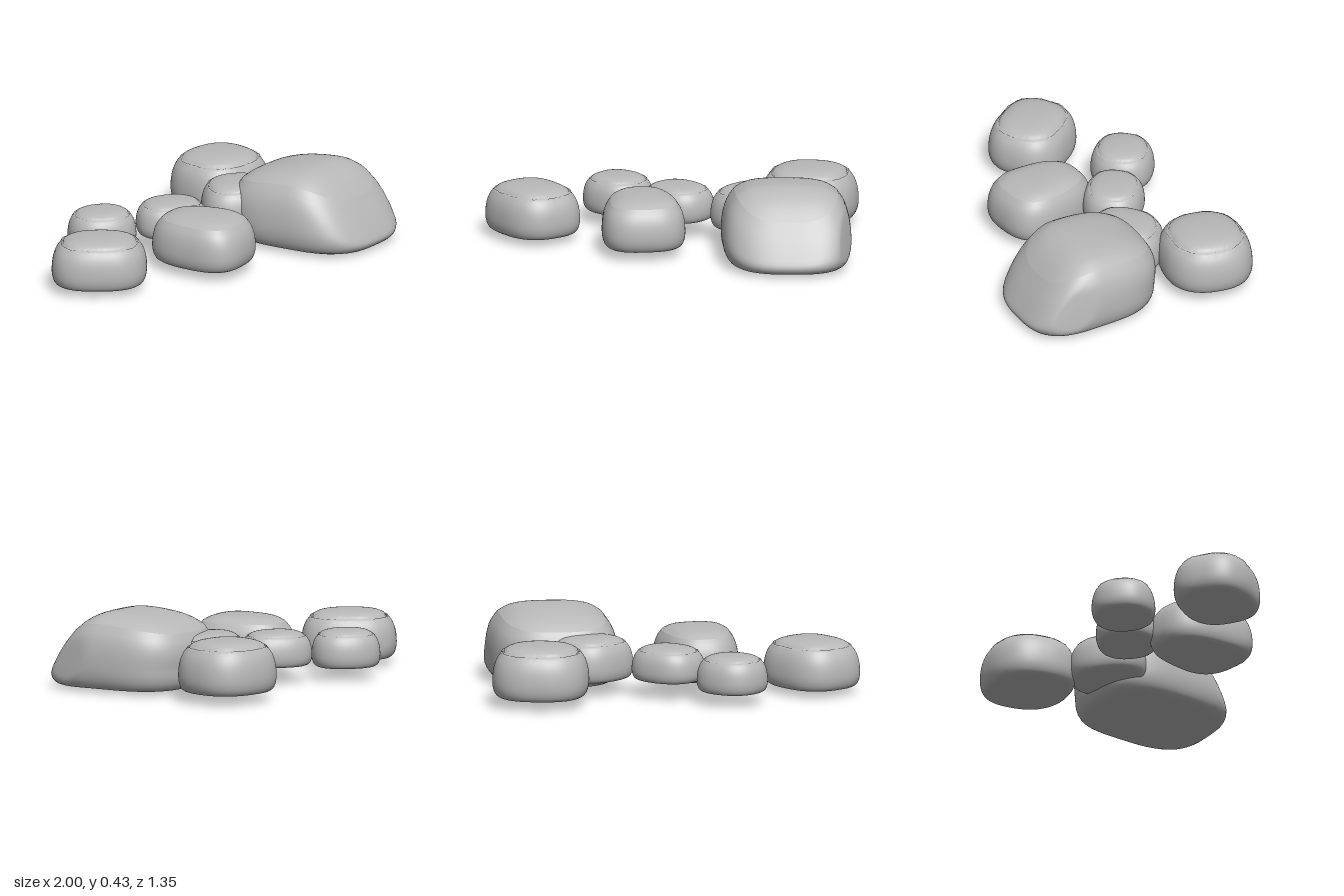
import * as THREE from 'three';

const SIDES = 96, SIDE_ROWS = 16, CAP_ROWS = 10;

const spline = (...pts) => new THREE.SplineCurve(pts.map(([x, y]) => new THREE.Vector2(x, y)));

// Vertical profile: x = share of the outline, y = share of the height
const sideProfile = spline([0.86, 0.05], [0.94, 0.1], [0.99, 0.22], [1, 0.37], [0.975, 0.56], [0.91, 0.73], [0.8, 0.865]);
const capProfile = spline([0.8, 0.865], [0.65, 0.94], [0.45, 0.98], [0.2, 0.997], [0, 1]);

// Plan outline: a tapered, turned, sheared superellipse fitted between x0..x1 and z0..z1
function planOutline([x0, x1, z0, z1], { aspect = 1, turn = 0, power = 2.4, taper = 0, shear = 0 }) {
  const round = (t) => Math.sign(t) * Math.abs(t) ** (2 / power);
  const a = THREE.MathUtils.degToRad(turn);
  const loop = [];
  for (let i = 0; i < SIDES; i++) {
    const t = (i / SIDES) * Math.PI * 2;
    const u = round(Math.cos(t)), v = round(Math.sin(t)) * (1 + taper * u);
    const p = new THREE.Vector3(aspect * u, 0, v).applyAxisAngle(new THREE.Vector3(0, 1, 0), -a);
    p.x += shear * p.z;
    loop.push(p);
  }
  const rim = new THREE.CatmullRomCurve3(loop, true).getSpacedPoints(SIDES).slice(0, SIDES);
  const box = new THREE.Box3().setFromPoints(rim);
  for (const p of rim) {
    p.x = THREE.MathUtils.mapLinear(p.x, box.min.x, box.max.x, x0, x1);
    p.z = THREE.MathUtils.mapLinear(p.z, box.min.z, box.max.z, z0, z1);
  }
  return rim;
}

// Repeatable ragged offset around the chipped edge
const ragged = (i) => 0.008 * Math.sin(i * 2.3) + 0.009 * Math.sin(i * 0.72 + 1) + 0.008 * Math.sin(i * Math.PI / 12);

function stoneGeometry(bounds, { base, top, chipped = false, lean = 0, facet, ...outline }) {
  const rim = planOutline(bounds, outline);
  const centre = new THREE.Vector3((bounds[0] + bounds[1]) / 2, 0, (bounds[2] + bounds[3]) / 2);

  // Underside rows, then sides, then cap; the underside has its own edge row to stay sharp
  const rows = [[0, 0], [0.45, 0.012], [0.86, 0.05]];
  for (const p of sideProfile.getPoints(SIDE_ROWS - 1)) rows.push([p.x, p.y]);
  const capStart = rows.length;
  for (const p of capProfile.getPoints(CAP_ROWS)) rows.push([p.x, p.y]);

  const positions = [], index = [];
  rows.forEach(([share, rise], j) => {
    for (let i = 0; i < SIDES; i++) {
      let s = share, h = rise;
      if (chipped && j === capStart - 1) s += ragged(i);
      if (chipped && j === capStart) {
        s += ragged(i) - 0.018;
        h -= 0.022;
      }
      const p = new THREE.Vector3().lerpVectors(centre, rim[i], s);
      p.z -= lean * Math.max(0, h - 0.37);
      p.y = base + h * (top(p.z) - base);
      // Flatten whatever stands beyond the facet plane
      if (facet) p.addScaledVector(facet.normal, -0.85 * Math.max(0, facet.distanceToPoint(p)));
      positions.push(p.x, p.y, p.z);
    }
  });
  for (let j = 0; j < rows.length - 1; j++) {
    if (j === 2) continue;
    for (let i = 0; i < SIDES; i++) {
      const a = j * SIDES + i, b = j * SIDES + ((i + 1) % SIDES);
      const c = a + SIDES, d = b + SIDES;
      index.push(a, c, b, b, c, d);
    }
  }
  const geometry = new THREE.BufferGeometry();
  geometry.setAttribute('position', new THREE.Float32BufferAttribute(positions, 3));
  geometry.setIndex(index);
  geometry.computeVertexNormals();
  return geometry;
}

const level = (y) => () => y;

// The large stone peaks at z = 0.3 and slopes down to the front
const slopedTop = (z) => (z > 0.3 ? 0.428 - 0.25 * ((z - 0.3) / 0.37) ** 2 : 0.428 - 0.06 * ((0.3 - z) / 0.43) ** 1.6);

const facetPlane = (x, y, z, distance) => new THREE.Plane(new THREE.Vector3(x, y, z), -distance).normalize();

export function createModel() {
  const group = new THREE.Group();
  group.name = 'stones';
  const material = new THREE.MeshStandardMaterial({ color: 0xb8b8b8 });
  material.name = 'stoneGrey';

  const addStone = (name, bounds, shape) => {
    const mesh = new THREE.Mesh(stoneGeometry(bounds, shape), material);
    mesh.name = name;
    group.add(mesh);
  };

  addStone('largeStone', [0.27, 0.975, -0.12, 0.67],
    { base: 0, top: slopedTop, lean: 0.1, aspect: 1.13, turn: 90, power: 3, shear: 0.08, facet: facetPlane(0.95, 0.15, 0.27, 1.045) });
  addStone('frontStone', [-0.37, 0.08, -0.19, 0.365],
    { base: 0.035, top: level(0.32), aspect: 1.2, turn: 82, power: 2.7, taper: 0.15 });
  addStone('rightStone', [-1, -0.49, -0.43, 0.08],
    { base: 0.025, top: level(0.297), aspect: 1.2, turn: 55, power: 2.6, chipped: true });
  addStone('backRightStone', [-0.48, -0.1, -0.66, -0.3],
    { base: 0.06, top: level(0.27), aspect: 1.08, turn: 42, power: 2.25, chipped: true });
  addStone('middleStone', [-0.16, 0.23, -0.435, -0.07],
    { base: 0.085, top: level(0.28), aspect: 1.17, turn: 42, power: 2.35, chipped: true });
  addStone('tuckedStone', [0.21, 0.67, -0.315, 0.09],
    { base: 0.07, top: level(0.312), aspect: 1.1, turn: -45, power: 2.5, chipped: true });
  addStone('backLeftStone', [0.475, 1, -0.68, -0.185],
    { base: 0.04, top: level(0.335), turn: 10, chipped: true });
  return group;
}
